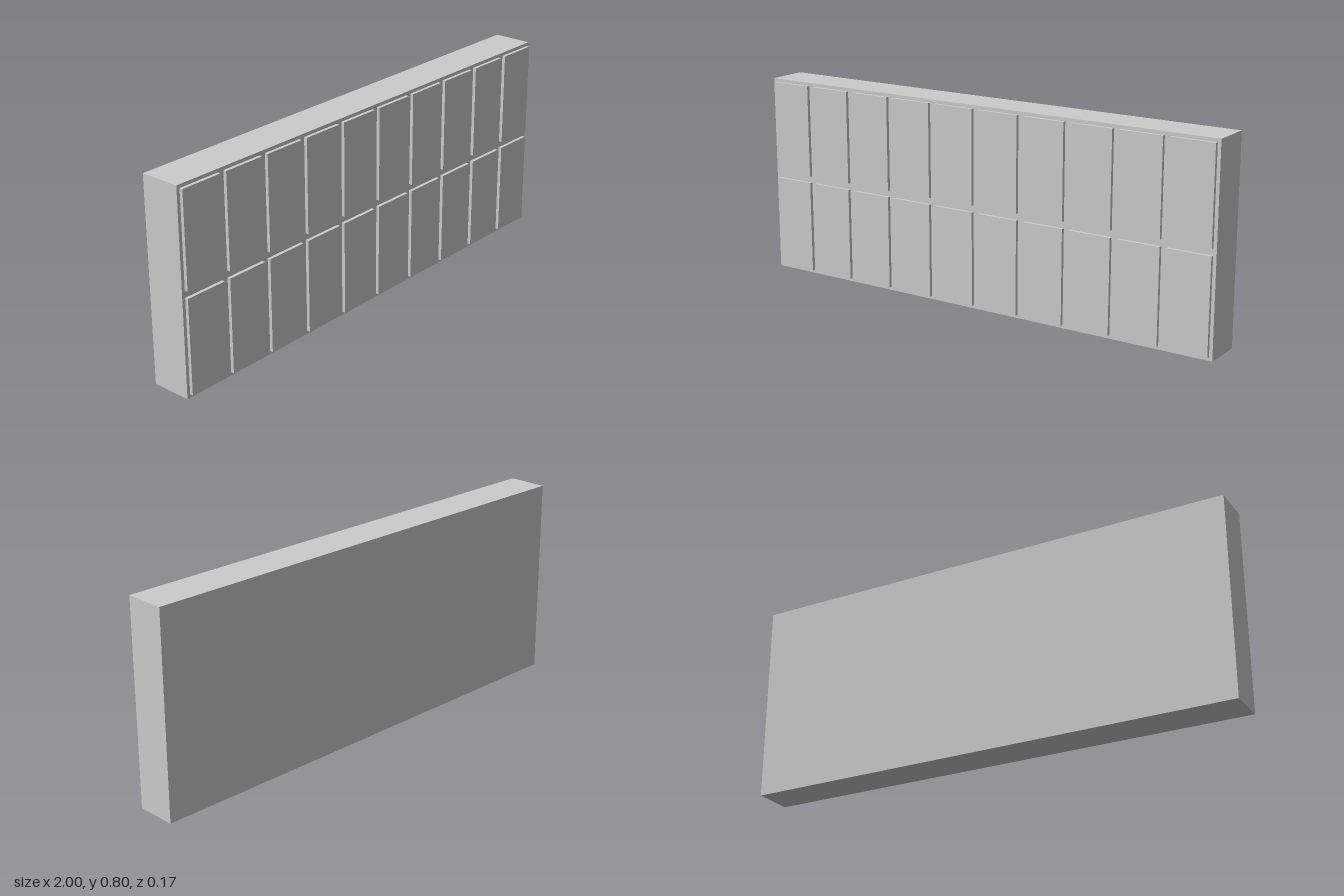
import * as THREE from 'three';

const WIDTH = 2, HEIGHT = 0.8, DEPTH = 0.16;
const COLUMNS = 10, ROWS = 2;
const MARGIN = 0.0133; // gap round each panel, also its thickness

export function createModel() {
  const model = new THREE.Group();
  model.name = 'cabinet';
  const material = new THREE.MeshStandardMaterial({ color: 0xcccccc });

  // Solid body, set back so that body and panels together are centred
  const body = new THREE.Mesh(new THREE.BoxGeometry(WIDTH, HEIGHT, DEPTH), material);
  body.name = 'body';
  body.position.set(0, HEIGHT / 2, -MARGIN / 2);
  model.add(body);

  // Grid of raised front panels
  const cellW = WIDTH / COLUMNS, cellH = HEIGHT / ROWS;
  const panelGeometry = new THREE.BoxGeometry(cellW - 2 * MARGIN, cellH - 2 * MARGIN, MARGIN);
  const panels = new THREE.Group();
  panels.name = 'frontPanels';
  for (let row = 0; row < ROWS; row++) {
    for (let col = 0; col < COLUMNS; col++) {
      const panel = new THREE.Mesh(panelGeometry, material);
      panel.name = `panelRow${row + 1}Column${col + 1}`;
      panel.position.set((col + 0.5) * cellW - WIDTH / 2, (row + 0.5) * cellH, DEPTH / 2);
      panels.add(panel);
    }
  }
  model.add(panels);
  return model;
}
